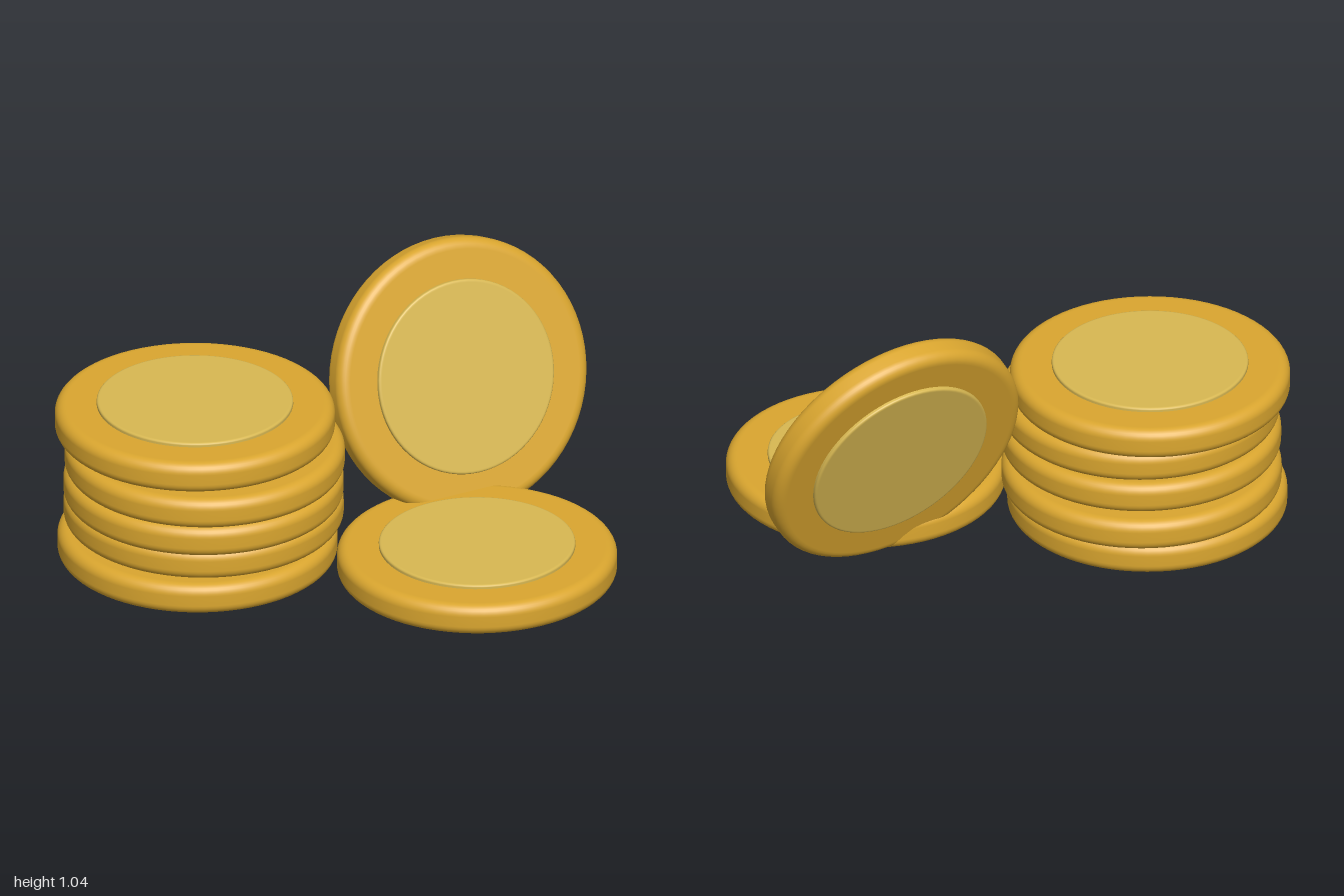
import * as THREE from 'three';

const RADIUS = 0.52, HALF = 0.06, BEVEL = 0.04;
const DISC_RADIUS = 0.365, DISC_HALF = 0.075, DISC_BEVEL = 0.008;

// Solid of revolution: a flat disc with rounded edges
function roundedDisc(radius, half, bevel, steps) {
  const inner = radius - bevel, points = [];
  const add = (x, y) => points.push(new THREE.Vector2(x, y));
  add(0, -half);
  add(inner - 0.004, -half);
  for (let i = 0; i <= steps; i++) {
    const a = -Math.PI / 2 + (i / steps) * Math.PI / 2;
    add(inner + bevel * Math.cos(a), -half + bevel + bevel * Math.sin(a));
  }
  for (let i = 0; i <= steps; i++) {
    const a = (i / steps) * Math.PI / 2;
    add(inner + bevel * Math.cos(a), half - bevel + bevel * Math.sin(a));
  }
  add(inner - 0.004, half);
  add(0, half);
  return new THREE.LatheGeometry(points, 72);
}

export function createModel() {
  const model = new THREE.Group();
  model.name = 'coinPile';

  const gold = new THREE.MeshStandardMaterial({ color: 0xdaa62f });
  gold.name = 'gold';
  const paleGold = new THREE.MeshStandardMaterial({ color: 0xd8b852 });
  paleGold.name = 'paleGold';

  const bodyGeometry = roundedDisc(RADIUS, HALF, BEVEL, 8);
  const discGeometry = roundedDisc(DISC_RADIUS, DISC_HALF, DISC_BEVEL, 3);

  // One coin: rounded body with a raised disc showing on both faces
  function addCoin(name, x, y, z) {
    const coin = new THREE.Group();
    coin.name = name;
    const body = new THREE.Mesh(bodyGeometry, gold);
    body.name = 'coinBody';
    const disc = new THREE.Mesh(discGeometry, paleGold);
    disc.name = 'raisedDisc';
    coin.add(body, disc);
    coin.position.set(x, y, z);
    model.add(coin);
    return coin;
  }

  // Uneven stack, bottom to top
  const stack = [[-0.47, -0.445], [-0.425, -0.455], [-0.47, -0.415], [-0.48, -0.4], [-0.468, -0.46]];
  stack.forEach(([x, z], i) => addCoin('stackedCoin' + (i + 1), x, 0.08 + i * 0.1245, z));

  // Coin lying flat in front
  addCoin('lyingCoin', 0.08, 0.092, 0.455);

  // Coin standing on edge, leaning back
  const leaning = addCoin('leaningCoin', 0.498, 0.54, -0.018);
  leaning.quaternion.setFromUnitVectors(
    new THREE.Vector3(0, 1, 0),
    new THREE.Vector3(-0.32, 0.31, 0.895).normalize()
  );

  return model;
}
